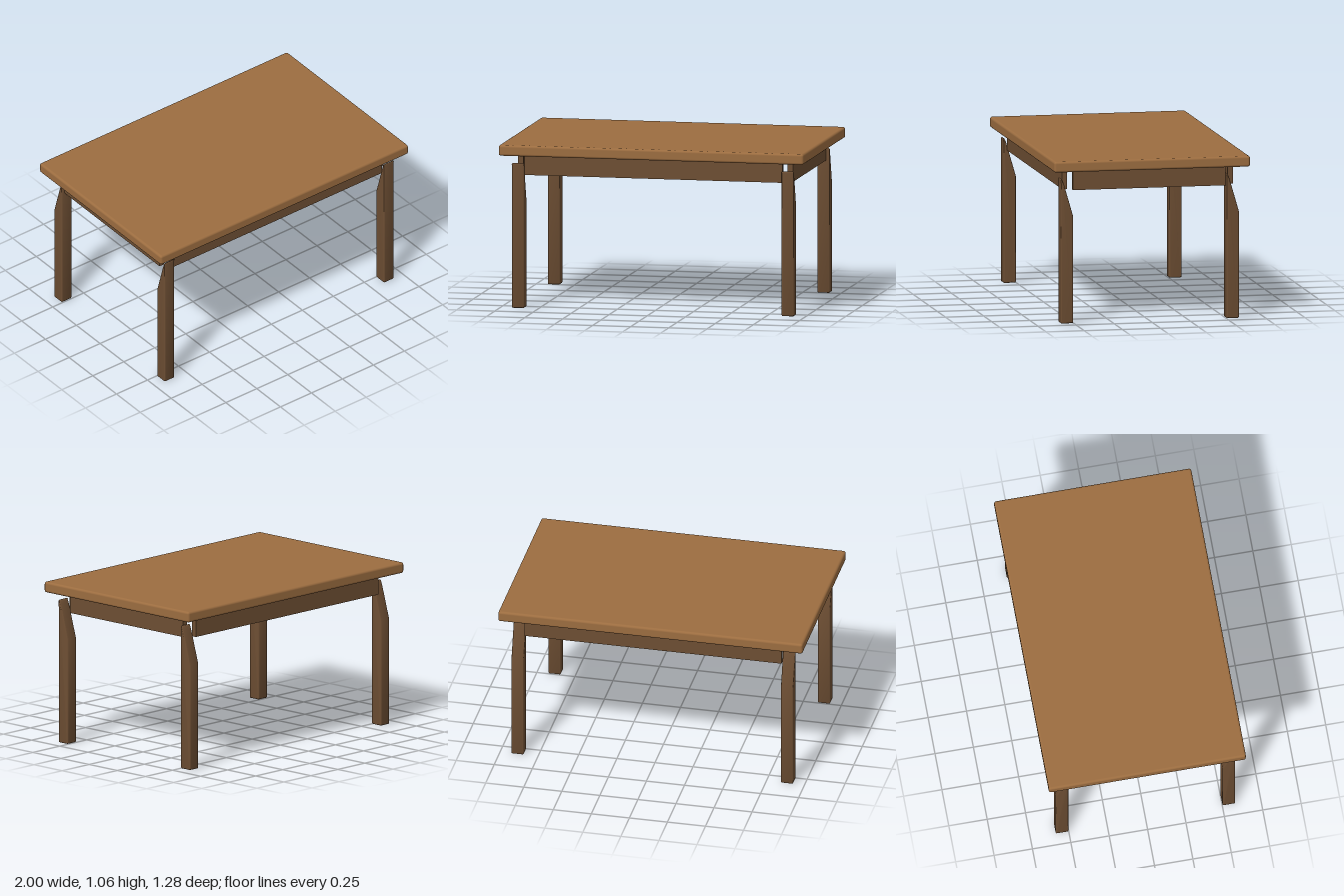
import * as THREE from 'three';
import { RoundedBoxGeometry } from 'three/addons/geometries/RoundedBoxGeometry.js';
import { toCreasedNormals } from 'three/addons/utils/BufferGeometryUtils.js';

const LEG_X = 0.885, LEG_Z = 0.543;

// Leg side profile (z across, y up): soft foot, slanted top with a rounded tip.
function legGeometry() {
  const bevel = 0.008, half = 0.0415, foot = 0.01;
  const s = new THREE.Shape();
  s.moveTo(-half + foot, 0);
  s.lineTo(half - foot, 0);
  s.quadraticCurveTo(half, 0, half, foot);
  s.lineTo(half, 0.925);
  s.bezierCurveTo(half, 0.944, 0.033, 0.95, 0.015, 0.885);
  s.lineTo(-half, 0.69);
  s.lineTo(-half, foot);
  s.quadraticCurveTo(-half, 0, -half + foot, 0);
  const g = new THREE.ExtrudeGeometry(s, {
    depth: 0.081 - 2 * bevel, curveSegments: 8, bevelEnabled: true,
    bevelThickness: bevel, bevelSize: bevel, bevelOffset: -bevel, bevelSegments: 3,
  });
  g.translate(0, 0, bevel - 0.0405);
  g.rotateY(-Math.PI / 2);
  return toCreasedNormals(g, 0.7);
}

export function createModel() {
  const group = new THREE.Group();
  const topWood = new THREE.MeshStandardMaterial({ color: 0x9c6d40 });
  topWood.name = 'light wood';
  const frameWood = new THREE.MeshStandardMaterial({ color: 0x6d4e33 });
  frameWood.name = 'dark wood';

  const add = (name, geometry, material, x, y, z) => {
    const mesh = new THREE.Mesh(geometry, material);
    mesh.name = name;
    mesh.position.set(x, y, z);
    group.add(mesh);
  };

  // Slab with softened edges
  add('tableTop', new RoundedBoxGeometry(2, 0.07, 1.284, 4, 0.015), topWood, 0, 1.025, 0);

  // Apron rails, tucked just under the slab
  const longRail = new THREE.BoxGeometry(1.69, 0.132, 0.034);
  const shortRail = new THREE.BoxGeometry(0.036, 0.132, 1.0);
  for (const s of [1, -1]) {
    add(s > 0 ? 'frontRail' : 'backRail', longRail, frameWood, 0, 0.926, s * LEG_Z);
    add(s > 0 ? 'leftRail' : 'rightRail', shortRail, frameWood, s * LEG_X, 0.926, 0);
  }

  // Four legs, every slanted top facing the back
  const leg = legGeometry();
  for (const sz of [1, -1])
    for (const sx of [1, -1])
      add((sz > 0 ? 'front' : 'back') + (sx > 0 ? 'Left' : 'Right') + 'Leg',
        leg, frameWood, sx * LEG_X, 0, sz * LEG_Z);

  return group;
}
